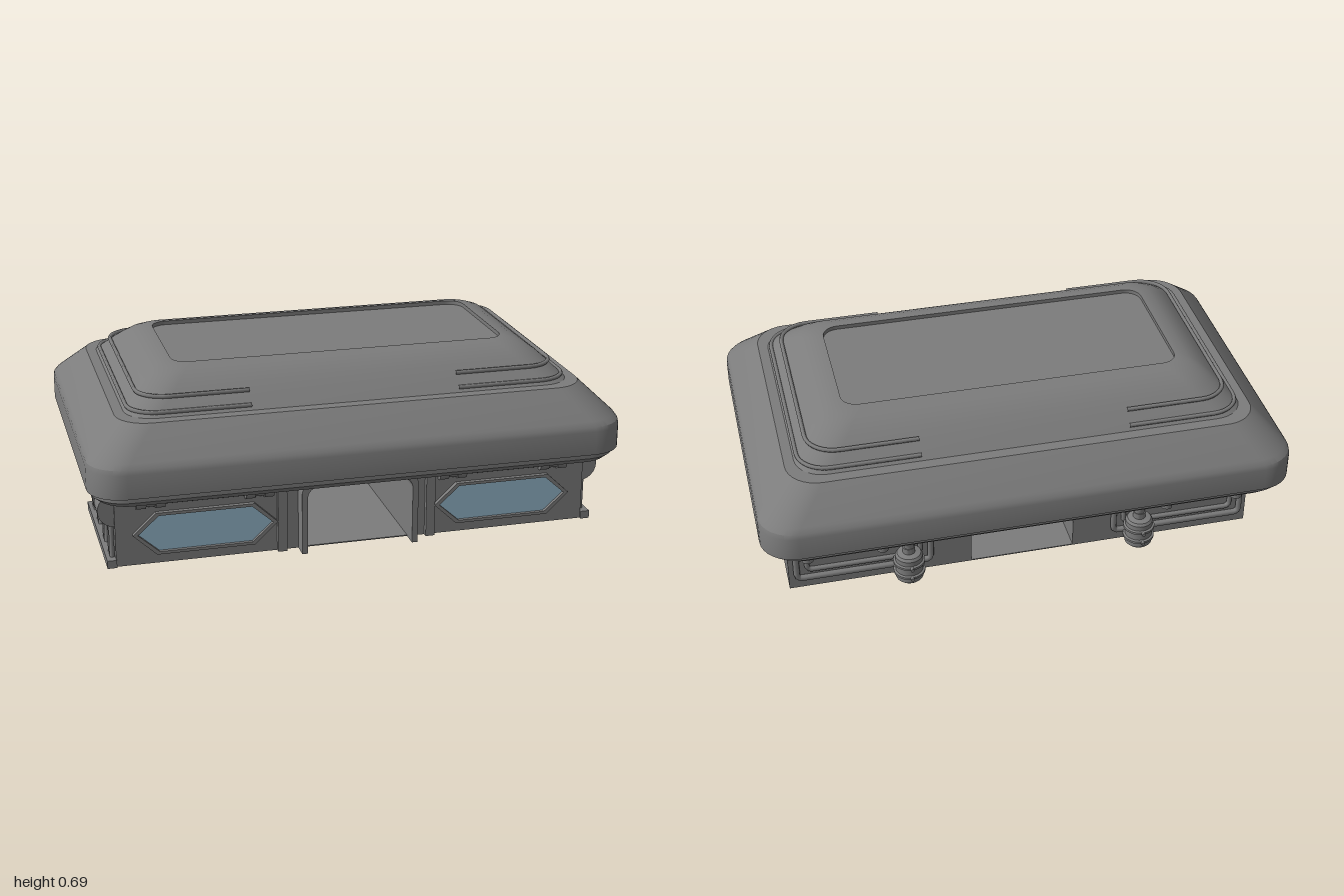
import * as THREE from 'three';
import { toCreasedNormals } from 'three/addons/utils/BufferGeometryUtils.js';

const hull = new THREE.MeshStandardMaterial({ color: 0x7c7c7c });
hull.name = 'hull grey';
const glass = new THREE.MeshStandardMaterial({ color: 0x93b6ca });
glass.name = 'window blue';

function add(parent, name, geometry, x = 0, y = 0, z = 0, material = hull) {
  const mesh = new THREE.Mesh(geometry, material);
  mesh.name = name;
  mesh.position.set(x, y, z);
  parent.add(mesh);
  return mesh;
}
const box = (w, h, d) => new THREE.BoxGeometry(w, h, d);
const rod = (r, len, axis = 'y') => {
  const g = new THREE.CylinderGeometry(r, r, len, 24);
  if (axis === 'x') g.rotateZ(Math.PI / 2);
  if (axis === 'z') g.rotateX(Math.PI / 2);
  return g;
};
const polygon = (pts) => new THREE.Shape(pts.map(([x, y]) => new THREE.Vector2(x, y)));
const extrude = (shape, depth) =>
  new THREE.ExtrudeGeometry(shape, { depth, bevelEnabled: false, curveSegments: 8 });

// Points around a rounded rectangle lying flat, from +x towards +z
function roundedRing(hx, hz, r, y, n = 8) {
  const pts = [];
  [[1, 1], [-1, 1], [-1, -1], [1, -1]].forEach(([sx, sz], q) => {
    for (let i = 0; i <= n; i++) {
      const a = (q + i / n) * Math.PI / 2;
      pts.push(new THREE.Vector3(sx * (hx - r) + r * Math.cos(a), y, sz * (hz - r) + r * Math.sin(a)));
    }
  });
  return pts;
}

// Skin over a stack of rounded rectangles [half x, half z, radius, y]
function loft(sections) {
  const rings = sections.map((s) => roundedRing(...s));
  const n = rings[0].length;
  const pos = rings.flat().flatMap((p) => [p.x, p.y, p.z]);
  const index = [];
  for (let k = 0; k < rings.length - 1; k++) {
    for (let i = 0; i < n; i++) {
      const a = k * n + i, b = k * n + (i + 1) % n;
      index.push(a, a + n, b, b, a + n, b + n);
    }
  }
  const g = new THREE.BufferGeometry();
  g.setAttribute('position', new THREE.Float32BufferAttribute(pos, 3));
  g.setIndex(index);
  g.computeVertexNormals();
  return toCreasedNormals(g, 0.42);
}

// Doorway outline, open at the ground
function arch(path, hw, top, r) {
  path.lineTo(-hw, 0);
  path.lineTo(-hw, top - r);
  path.absarc(-hw + r, top - r, r, Math.PI, Math.PI / 2, true);
  path.lineTo(hw - r, top);
  path.absarc(hw - r, top - r, r, Math.PI / 2, 0, true);
  path.lineTo(hw, 0);
}

function buildRoof(group) {
  add(group, 'roof', loft([
    [0, 0, 0, 0.28], [0.93, 0.585, 0.1, 0.28], [0.965, 0.615, 0.12, 0.29],
    [0.985, 0.635, 0.13, 0.31], [0.985, 0.635, 0.13, 0.325], [1, 0.65, 0.13, 0.33],
    [1, 0.65, 0.13, 0.42], [0.997, 0.645, 0.13, 0.437], [0.985, 0.632, 0.13, 0.455],
    [0.877, 0.525, 0.12, 0.56], [0.84, 0.482, 0.11, 0.56], [0.79, 0.43, 0.11, 0.61],
    [0.755, 0.392, 0.11, 0.643], [0.72, 0.355, 0.1, 0.668], [0.685, 0.318, 0.09, 0.684],
    [0.65, 0.285, 0.07, 0.691], [0.637, 0.267, 0.06, 0.692], [0.637, 0.267, 0.06, 0.677],
    [0, 0, 0, 0.677],
  ]));
  // Raised trim wrapping each end of the roof
  for (const [hx, hz, r, y] of [[0.828, 0.468, 0.11, 0.576], [0.79, 0.428, 0.11, 0.62]]) {
    for (const s of [1, -1]) {
      const ring = roundedRing(hx, hz, r, y);
      const path = new THREE.CurvePath();
      const line = [new THREE.Vector3(0.39, y, -hz), ...ring.slice(27), ...ring.slice(0, 9),
        new THREE.Vector3(0.39, y, hz)];
      for (let i = 1; i < line.length; i++) path.add(new THREE.LineCurve3(line[i - 1], line[i]));
      const trim = add(group, 'roofTrim', new THREE.TubeGeometry(path, 90, 0.008, 6));
      if (s < 0) trim.rotation.y = Math.PI;
    }
  }
}

function buildBody(group) {
  const wall = new THREE.Shape();
  wall.moveTo(-0.9, 0);
  arch(wall, 0.2, 0.26, 0.04);
  wall.lineTo(0.9, 0);
  wall.lineTo(0.9, 0.29);
  wall.lineTo(-0.9, 0.29);
  add(group, 'body', extrude(wall, 0.89), 0, 0, -0.42);
  add(group, 'passageFloor', box(0.4, 0.004, 0.89), 0, 0.002, 0.025);

  // Projecting door frame
  const frame = new THREE.Shape();
  frame.moveTo(-0.222, 0);
  arch(frame, 0.2, 0.26, 0.04);
  frame.lineTo(0.222, 0);
  frame.lineTo(0.222, 0.235);
  frame.absarc(0.182, 0.235, 0.04, 0, Math.PI / 2, false);
  frame.lineTo(-0.182, 0.275);
  frame.absarc(-0.182, 0.235, 0.04, Math.PI / 2, Math.PI, false);
  add(group, 'doorFrame', extrude(frame, 0.065), 0, 0, 0.467);
}

// Six-sided outline with long pointed ends
const hexagon = (hw, hh, slant) => [[-hw, 0], [-hw + slant, -hh], [hw - slant, -hh],
  [hw, 0], [hw - slant, hh], [-hw + slant, hh]];

function buildFrontBay(group, s) {
  const bay = new THREE.Group();
  bay.name = 'frontBay';
  bay.position.x = s * 0.57;
  group.add(bay);
  const rim = polygon(hexagon(0.268, 0.081, 0.086));
  rim.holes.push(polygon(hexagon(0.25, 0.07, 0.078)));
  add(bay, 'windowRim', extrude(rim, 0.018), 0, 0.12, 0.469);
  add(bay, 'windowPane', extrude(polygon(hexagon(0.252, 0.072, 0.079)), 0.006), 0, 0.12, 0.468, glass);
  // Rail above the window with thick collars
  add(bay, 'rail', rod(0.013, 0.5, 'x'), 0, 0.247, 0.48);
  for (const e of [-1, 1]) {
    add(bay, 'railCollar', rod(0.025, 0.035, 'x'), e * 0.235, 0.245, 0.476);
    add(bay, 'railCollar', rod(0.025, 0.035, 'x'), e * 0.165, 0.245, 0.476);
    add(bay, 'railSleeve', rod(0.019, 0.08, 'x'), e * 0.2, 0.245, 0.476);
  }
  add(group, 'doorPilaster', box(0.035, 0.28, 0.022), s * 0.285, 0.14, 0.478);
}

function buildSideTanks(group, s) {
  add(group, 'sideLedge', box(0.035, 0.03, 0.58), s * 0.9155, 0.015, 0.19);
  for (const z of [0.345, 0.033]) {
    for (const e of [-1, 1]) {
      add(group, 'sideTank', rod(0.064, 0.09, 'z'), s * 0.895, 0.217, z + e * 0.071);
      for (const k of [-1, 0, 1]) {
        add(group, 'tankPipe', rod(0.009, 0.15), s * 0.91, 0.1, z + e * 0.071 + k * 0.024);
      }
    }
    add(group, 'tankCore', rod(0.05, 0.06, 'z'), s * 0.895, 0.217, z);
    for (const k of [-1, 0, 1]) {
      add(group, 'tankRib', rod(0.058, 0.009, 'z'), s * 0.895, 0.217, z + k * 0.018);
    }
  }
}

// Rounded pipe running in a flat loop on the back wall
function pipeLoop(x0, x1, y0, y1, radius) {
  const path = new THREE.CurvePath();
  const pts = roundedRing((x1 - x0) / 2, (y1 - y0) / 2, 0.018, 0, 4)
    .map((p) => new THREE.Vector3(p.x + (x0 + x1) / 2, p.z + (y0 + y1) / 2, 0));
  pts.forEach((p, i) => path.add(new THREE.LineCurve3(p, pts[(i + 1) % pts.length])));
  return new THREE.TubeGeometry(path, 100, radius, 8, true);
}

function buildBackPlant(group, s) {
  const plant = new THREE.Group();
  plant.name = 'backPlant';
  group.add(plant);
  const span = (a, b) => (s > 0 ? [a, b] : [-b, -a]);
  add(plant, 'pipeLoop', pipeLoop(...span(0.36, 0.87), 0.05, 0.19, 0.012), 0, 0, -0.428);
  add(plant, 'innerPipeLoop', pipeLoop(...span(0.4, 0.83), 0.085, 0.155, 0.01), 0, 0, -0.426);
  // Ringed barrel with neck and elbow
  const profile = [[0, 0.01], [0.042, 0.01], [0.052, 0.02], [0.052, 0.04], [0.06, 0.043], [0.06, 0.052],
    [0.052, 0.055], [0.052, 0.085], [0.06, 0.088], [0.06, 0.097], [0.052, 0.1], [0.052, 0.12],
    [0.045, 0.13], [0.024, 0.135], [0.024, 0.16], [0, 0.16]].map((p) => new THREE.Vector2(...p));
  add(plant, 'barrel', toCreasedNormals(new THREE.LatheGeometry(profile, 28), 0.5), s * 0.45, 0, -0.466);
  const neck = new THREE.CatmullRomCurve3([[0.45, 0.13, -0.466], [0.45, 0.18, -0.47],
    [0.465, 0.22, -0.478], [0.5, 0.235, -0.485]].map(([x, y, z]) => new THREE.Vector3(s * x, y, z)));
  add(plant, 'barrelNeck', new THREE.TubeGeometry(neck, 16, 0.02, 12));
  for (const y of [0.048, 0.093]) add(plant, 'barrelBolt', rod(0.007, 0.02, 'z'), s * 0.45, y, -0.525);
  // Upper pipe with valves
  add(plant, 'upperPipe', rod(0.015, 0.5, 'x'), s * 0.62, 0.232, -0.485);
  add(plant, 'pipeShelf', box(0.52, 0.018, 0.045), s * 0.62, 0.205, -0.44);
  for (const x of [0.55, 0.83]) {
    add(plant, 'valveBody', rod(0.022, 0.09), s * x, 0.225, -0.485);
    add(plant, 'valveCollar', rod(0.027, 0.05, 'x'), s * x, 0.232, -0.485);
    add(plant, 'valveStem', rod(0.008, 0.04, 'z'), s * x, 0.23, -0.505);
    add(plant, 'valveKnob', rod(0.016, 0.01, 'z'), s * x, 0.23, -0.52);
    add(plant, 'valveBracket', box(0.03, 0.03, 0.07), s * x, 0.232, -0.45);
  }
}

export function createModel() {
  const model = new THREE.Group();
  model.name = 'building';
  buildRoof(model);
  buildBody(model);
  for (const s of [1, -1]) {
    buildFrontBay(model, s);
    buildSideTanks(model, s);
    buildBackPlant(model, s);
  }
  return model;
}
